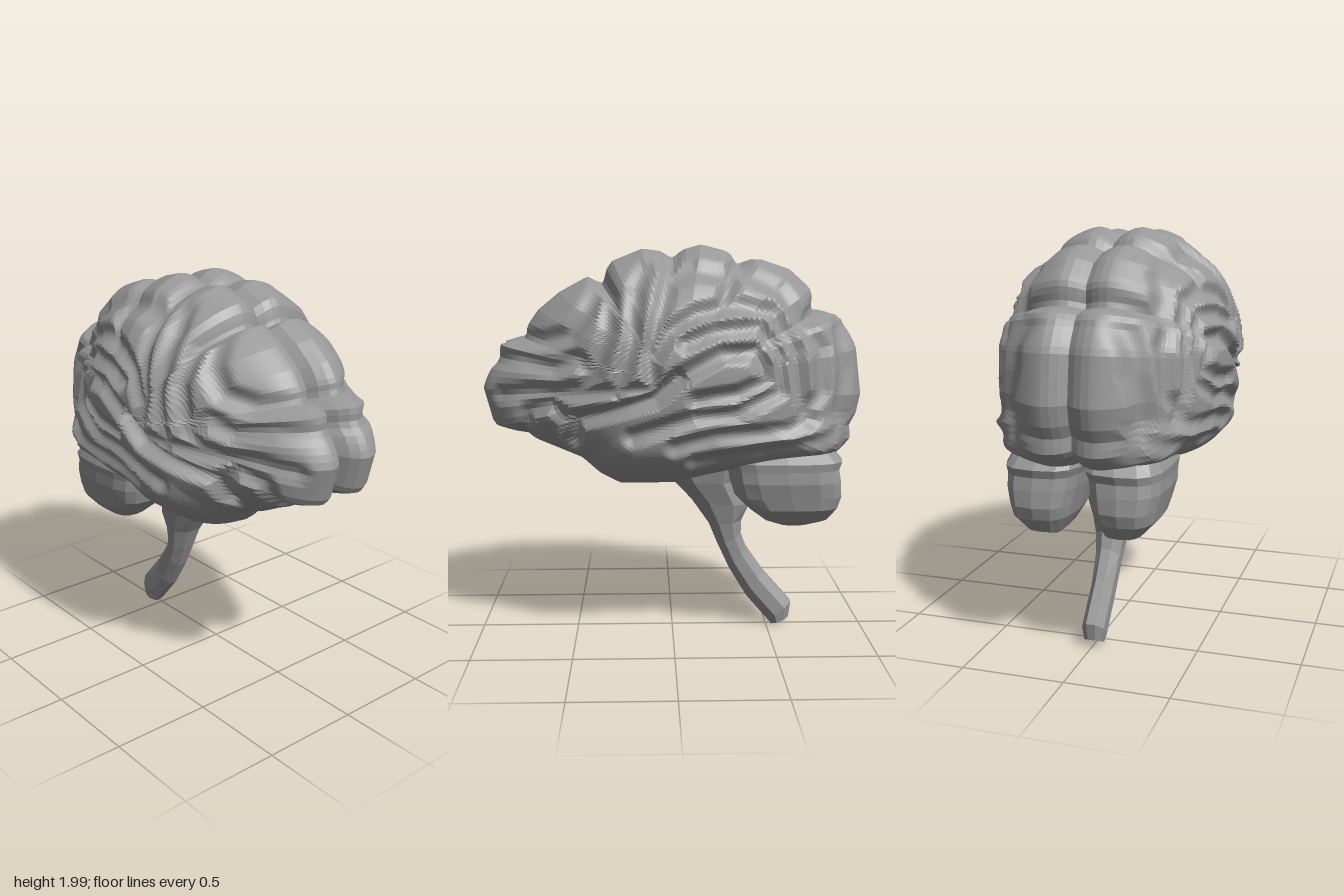
import * as THREE from 'three';

const CY = 1.36; // height of the centre of each hemisphere

// Side outline of a hemisphere as [z, y], counted from the front over the top
const outline = [
  [.95, 1.3], [.86, 1.51], [.76, 1.55], [.67, 1.68], [.56, 1.77], [.43, 1.84], [.37, 1.82], [.3, 1.92], [.15, 1.98],
  [0, 1.96], [-.14, 2], [-.26, 1.97], [-.34, 1.92], [-.43, 1.93], [-.58, 1.88], [-.68, 1.79], [-.72, 1.68],
  [-.84, 1.65], [-.92, 1.5], [-.95, 1.26], [-.9, 1.02], [-.81, .95], [-.55, .92], [-.26, .87], [0, .81],
  [.27, .81], [.37, .86], [.46, .94], [.75, 1.06], [.9, 1.11],
];

// Furrows as side-view paths of [z, y]
const frontalFurrows = [
  [[.1, 1.33], [.12, 1.5], [.05, 1.75], [0, 1.97]],
  [[.27, 1.3], [.2, 1.55], [.18, 1.8], [.14, 1.88]],
  [[.38, 1.4], [.31, 1.6], [.31, 1.75], [.37, 1.84]],
  [[.9, 1.44], [.75, 1.45], [.58, 1.42], [.46, 1.46], [.38, 1.4], [.43, 1.33], [.55, 1.3]],
  [[.77, 1.55], [.63, 1.54], [.5, 1.58], [.42, 1.68], [.36, 1.81]],
  [[.85, 1.28], [.68, 1.3], [.55, 1.3], [.3, 1.32], [.1, 1.33]],
  [[.74, 1.08], [.72, 1.2], [.6, 1.25], [.5, 1.16]],
];
const parietalFurrows = [
  [[-.02, 1.39], [-.22, 1.5], [-.38, 1.5], [-.44, 1.37], [-.3, 1.31], [-.1, 1.28]],
  [[.1, 1.48], [.03, 1.6], [-.1, 1.68], [-.3, 1.72], [-.47, 1.68], [-.57, 1.5], [-.6, 1.3], [-.65, 1.17]],
  [[-.24, 1.72], [-.27, 1.85], [-.34, 1.93]],
  [[-.35, 1.87], [-.52, 1.78], [-.62, 1.62], [-.71, 1.5], [-.71, 1.3], [-.62, 1.2]],
  [[-.72, 1.7], [-.62, 1.62]],
  [[-.05, 1.55], [-.2, 1.6], [-.4, 1.62], [-.5, 1.48], [-.5, 1.32], [-.3, 1.22], [-.1, 1.2]],
  [[-.82, 1.6], [-.84, 1.4], [-.82, 1.2], [-.85, 1.05]],
  [[-.22, 1.86], [-.1, 1.88], [.02, 1.84]],
];
const temporalFurrows = [
  [[.5, 1.06], [.48, 1.17], [.25, 1.24], [.1, 1.29], [-.02, 1.39]],
  [[.2, 1.1], [-.1, 1.2]],
  [[0, 1.05], [-.2, 1.1], [-.55, 1.13], [-.65, 1.17]],
  [[-.1, .97], [-.4, 1.02], [-.65, 1.05], [-.9, 1.1]],
];
const furrows = [
  ...frontalFurrows.map((path) => ({ path, depth: .04 })),
  ...parietalFurrows.map((path) => ({ path, depth: .04 })),
  ...temporalFurrows.map((path, i) => ({ path, depth: i ? .035 : .07 })),
];

// Distance from the centre to the outline along an angle
function outlineRadius(angle) {
  const dz = Math.cos(angle), dy = Math.sin(angle);
  for (let i = 0; i < outline.length; i++) {
    const [az, ay] = outline[i], [bz, by] = outline[(i + 1) % outline.length];
    const ez = bz - az, ey = by - ay, det = dy * ez - dz * ey;
    const r = ((ay - CY) * ez - az * ey) / det;
    const k = (dz * (ay - CY) - dy * az) / det;
    if (r > 0 && k >= -1e-6 && k <= 1 + 1e-6) return r;
  }
  return .6;
}

// Half width of the brain over a side-view point, t running from centre 0 to outline 1
function halfWidth(z, y, t) {
  const front = THREE.MathUtils.smoothstep(z, .2, .75);
  const back = THREE.MathUtils.smoothstep(-z, .1, .4);
  const low = THREE.MathUtils.smoothstep(1.2 - y, 0, .2) * (1 - front) * (1 + back);
  const high = THREE.MathUtils.smoothstep(y, 1.6, 1.85) * (1 - front);
  const swell = Math.pow(1 - Math.pow(t, 2.4 + low + .7 * front), .6 + .08 * high);
  return .11 + .455 * swell * (1 - .32 * front);
}

// Depth of the round-bottomed furrows at a side-view point
function furrowDepth(z, y) {
  let cut = 0;
  for (const { path, depth } of furrows) {
    for (let i = 0; i + 1 < path.length; i++) {
      const [az, ay] = path[i], ez = path[i + 1][0] - az, ey = path[i + 1][1] - ay;
      const k = THREE.MathUtils.clamp(((z - az) * ez + (y - ay) * ey) / (ez * ez + ey * ey), 0, 1);
      const d = Math.hypot(z - az - k * ez, y - ay - k * ey);
      cut = Math.max(cut, depth * Math.max(0, 1 - (d / .065) ** 2) ** 2);
    }
  }
  return cut;
}

// Joins rings of equal length into a surface
function skin(rings, flip) {
  const n = rings[0].length, index = [];
  for (let j = 0; j + 1 < rings.length; j++) {
    for (let i = 0; i < n; i++) {
      const a = j * n + i, b = j * n + (i + 1) % n, c = a + n, d = b + n;
      index.push(...(flip ? [a, c, b, b, c, d] : [a, b, c, b, d, c]));
    }
  }
  const geometry = new THREE.BufferGeometry();
  geometry.setAttribute('position', new THREE.Float32BufferAttribute(rings.flat(2), 3));
  geometry.setIndex(index);
  geometry.computeVertexNormals();
  return geometry;
}

// Hemisphere: rings spreading from the outer side to the rim, then folding into the midline
function hemisphereGeometry(side) {
  const around = 180, steps = 56, rings = [];
  for (let j = 0; j <= steps + 3; j++) {
    const ring = [];
    for (let i = 0; i < around; i++) {
      const angle = i / around * Math.PI * 2, R = outlineRadius(angle);
      const t = Math.sin(Math.min(j / steps, 1) * Math.PI / 2);
      const z = R * t * Math.cos(angle), y = CY + R * t * Math.sin(angle);
      const cut = furrowDepth(z, y);
      let x = halfWidth(z, y, t) - cut * Math.sqrt(1 - t ** 4);
      let inset = cut * t * t * .6;
      if (j > steps) {
        const fold = (j - steps) / 3;
        x = .11 * (1 - fold);
        inset += (.045 + .06 * Math.max(0, Math.cos(angle)) ** 4) * fold * fold;
      }
      const s = 1 - inset / (R * t || 1);
      ring.push([side * x, CY + (y - CY) * s, z * s]);
    }
    rings.push(ring);
  }
  return skin(rings, side < 0);
}

// Cerebellum lobe: squarish level sections, each [y, front z, back z, inner x, outer x]
function cerebellumGeometry(side) {
  const sections = [
    [1, -.3, -.8, 0, .36], [.94, -.26, -.85, 0, .385], [.9, -.275, -.835, .015, .38], [.84, -.285, -.845, .025, .38],
    [.76, -.31, -.85, .045, .36], [.7, -.37, -.83, .06, .345], [.63, -.46, -.78, .1, .28], [.595, -.55, -.68, .14, .21],
    [.59, -.6, -.6, .17, .17],
  ];
  const square = (v) => Math.sign(v) * Math.pow(Math.abs(v), .65);
  return skin(sections.map(([y, front, back, inner, outer]) => Array.from({ length: 16 }, (_, i) => {
    const a = i / 16 * Math.PI * 2;
    return [
      side * (inner + outer) / 2 + square(Math.cos(a)) * (outer - inner) / 2, y,
      (front + back) / 2 + square(Math.sin(a)) * (front - back) / 2,
    ];
  })), false);
}

// Brain stem: eight-sided sections, each [front z, front y, back z, back y, half width]
function brainStemGeometry() {
  const sections = [
    [.12, .95, -.42, .95, .2], [0, .81, -.36, .8, .165], [-.1, .7, -.4, .67, .125], [-.19, .57, -.36, .58, .095],
    [-.24, .45, -.36, .51, .075], [-.3, .32, -.39, .43, .062], [-.39, .17, -.48, .3, .056], [-.51, .03, -.63, .13, .056],
    [-.53, .005, -.62, .045, .045], [-.575, .025, -.575, .025, 0],
  ];
  return skin(sections.map(([fz, fy, bz, by, w]) => Array.from({ length: 8 }, (_, i) => {
    const a = (i + .5) / 8 * Math.PI * 2, k = .5 + .5 * Math.cos(a) / Math.cos(Math.PI / 8);
    return [w * Math.sin(a) / Math.cos(Math.PI / 8), by + (fy - by) * k, bz + (fz - bz) * k];
  })), true);
}

export function createModel() {
  const model = new THREE.Group();
  model.name = 'brain';
  const grey = new THREE.MeshStandardMaterial({ color: 0x989898, flatShading: true });
  grey.name = 'grey';
  const add = (name, geometry) => {
    const mesh = new THREE.Mesh(geometry, grey);
    mesh.name = name;
    model.add(mesh);
  };
  for (const [label, side] of [['left', 1], ['right', -1]]) {
    add(label + 'Hemisphere', hemisphereGeometry(side));
    add(label + 'Cerebellum', cerebellumGeometry(side));
  }
  add('brainStem', brainStemGeometry());
  return model;
}
